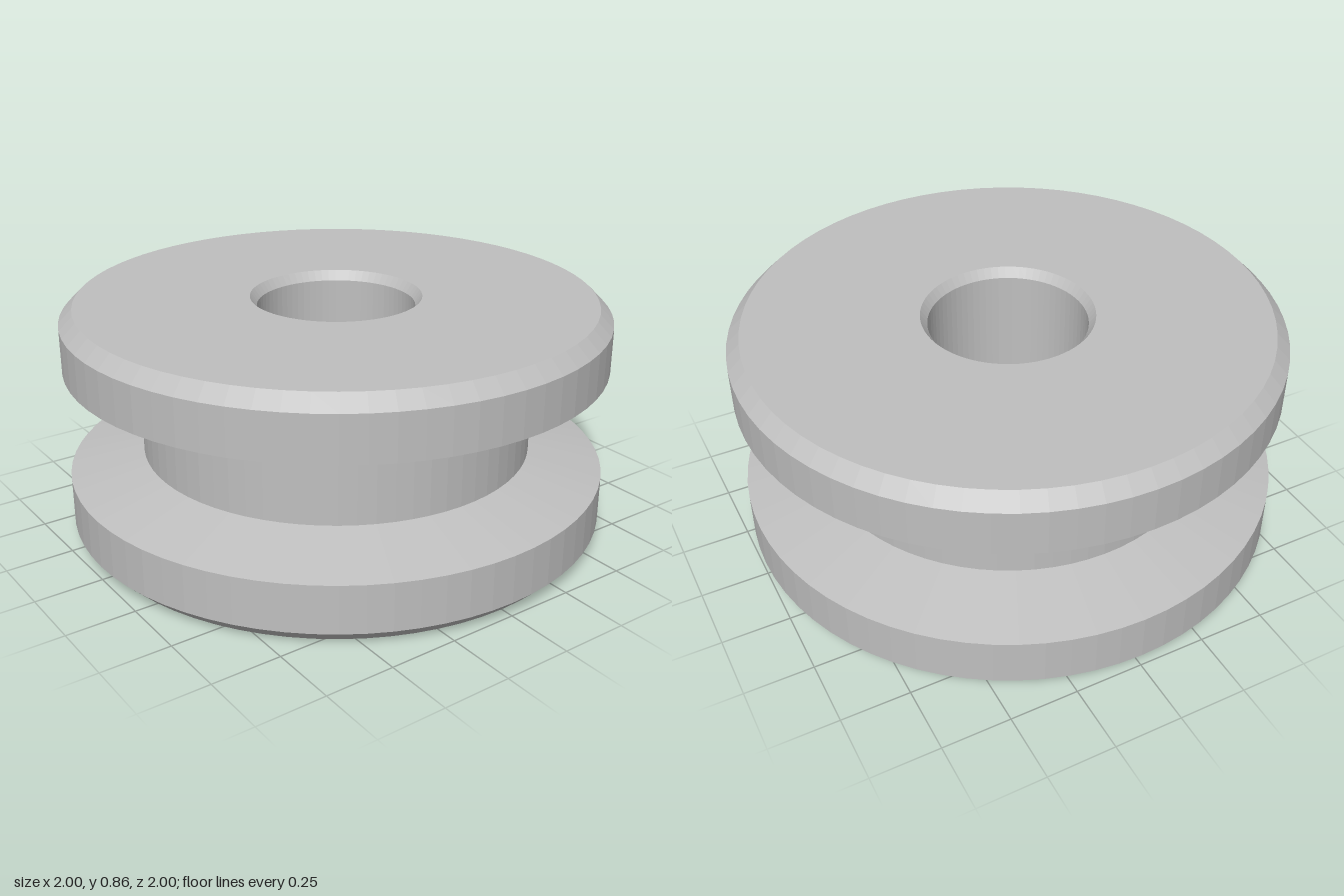
import * as THREE from 'three';

const SIDES = 72;
const HEIGHT = 0.855;

export function createModel() {
  const group = new THREE.Group();
  group.name = 'groovedRoller';

  const metal = new THREE.MeshStandardMaterial({ color: 0xbfbfbf });
  metal.name = 'grey metal';

  // Revolve a profile and keep every edge crisp
  const addLathe = (name, profile) => {
    const points = profile.map(([r, y]) => new THREE.Vector2(r, y));
    const geometry = new THREE.LatheGeometry(points, SIDES).toNonIndexed();
    geometry.computeVertexNormals();
    const mesh = new THREE.Mesh(geometry, metal);
    mesh.name = name;
    group.add(mesh);
  };

  // Lower flange: countersink, flat face, chamfered rim, sloping groove side
  addLathe('lowerFlange', [
    [0.29, 0.035], [0.315, 0], [0.95, 0], [1, 0.05], [1, 0.227], [0.727, 0.29],
  ]);

  // Groove floor
  addLathe('hub', [[0.727, 0.29], [0.727, HEIGHT - 0.29]]);

  // Upper flange, ending in the top countersink
  addLathe('upperFlange', [
    [0.727, HEIGHT - 0.29], [1, HEIGHT - 0.217], [1, HEIGHT - 0.05],
    [0.95, HEIGHT], [0.315, HEIGHT], [0.29, HEIGHT - 0.035],
  ]);

  // Inner wall of the through hole
  addLathe('bore', [[0.29, HEIGHT - 0.035], [0.29, 0.035]]);

  return group;
}
